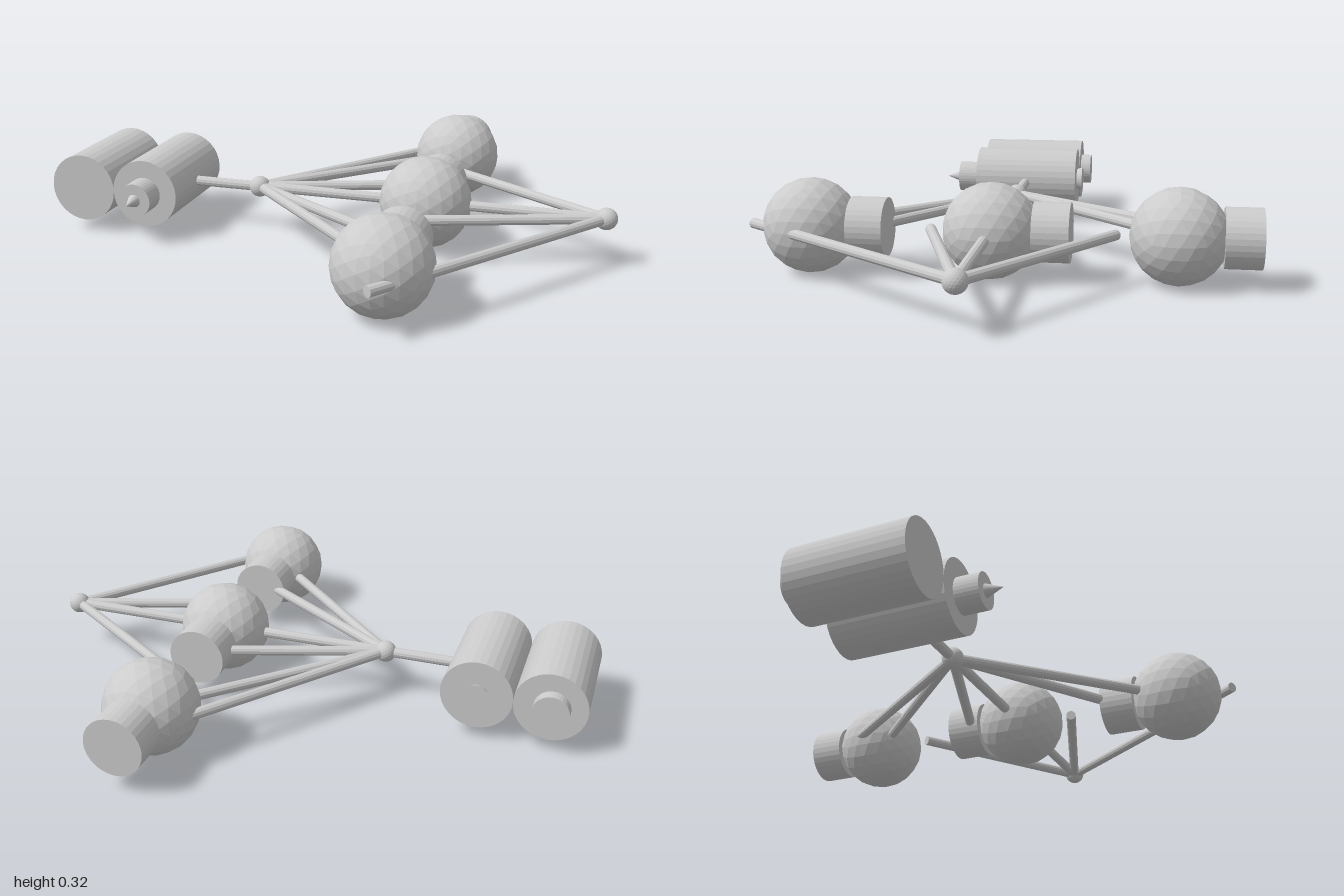
import * as THREE from 'three';

const Y = 0.166; // every part sits on one horizontal plane
const X_BALL = 0.345;
const mat = new THREE.MeshStandardMaterial({ color: 0xcccccc, flatShading: true });

function add(parent, name, geometry) {
  const mesh = new THREE.Mesh(geometry, mat);
  mesh.name = name;
  parent.add(mesh);
  return mesh;
}

// Cylinder or cone along z, from z0 (radius r0) to z1 (radius r1)
function barrel(parent, name, x, z0, z1, r0, r1 = r0) {
  const geo = new THREE.CylinderGeometry(r1, r0, z1 - z0, 32).rotateX(Math.PI / 2);
  add(parent, name, geo).position.set(x, Y, (z0 + z1) / 2);
}

function ball(parent, name, x, z, r, detail) {
  add(parent, name, new THREE.IcosahedronGeometry(r, detail)).position.set(x, Y, z);
}

// Thin rod between two [x, z] points
function rod(parent, name, a, b) {
  const p = new THREE.Vector3(a[0], Y, a[1]);
  const q = new THREE.Vector3(b[0], Y, b[1]);
  const dir = q.clone().sub(p);
  const mesh = add(parent, name, new THREE.CylinderGeometry(0.018, 0.018, dir.length(), 12));
  mesh.position.copy(p).add(q).multiplyScalar(0.5);
  mesh.quaternion.setFromUnitVectors(new THREE.Vector3(0, 1, 0), dir.normalize());
}

export function createModel() {
  const model = new THREE.Group();
  model.name = 'model';

  // Pair of tanks side by side
  const tanks = new THREE.Group();
  tanks.name = 'tanks';
  model.add(tanks);
  barrel(tanks, 'outerTank', -0.878, -0.183, 0.222, 0.122);
  barrel(tanks, 'outerTankPlug', -0.883, -0.223, -0.17, 0.061);
  barrel(tanks, 'innerTank', -0.635, -0.183, 0.222, 0.122);
  barrel(tanks, 'innerTankPlug', -0.635, -0.205, -0.175, 0.049, 0.037);
  barrel(tanks, 'nozzleCollar', -0.635, 0.21, 0.305, 0.06);
  barrel(tanks, 'nozzleTip', -0.635, 0.3, 0.362, 0.025, 0);

  // Rod frame with a joint at each end
  const frame = new THREE.Group();
  frame.name = 'frame';
  model.add(frame);
  const near = [-0.27, 0.02];
  const far = [0.96, 0.02];
  ball(frame, 'nearJoint', ...near, 0.038, 3);
  ball(frame, 'farJoint', ...far, 0.038, 3);
  rod(frame, 'stem', [-0.53, 0.02], near);
  rod(frame, 'centreRod', near, far);

  // Three globes with caps, each tied to both joints
  for (const z of [-0.593, 0.02, 0.632]) {
    const unit = new THREE.Group();
    unit.name = 'globeUnit';
    model.add(unit);
    ball(unit, 'globe', X_BALL, z, 0.161, 3);
    barrel(unit, 'cap', X_BALL, z - 0.264, z - 0.142, 0.1);
    rod(unit, 'capRod', near, [X_BALL, z - 0.204]);
    if (z !== near[1]) rod(unit, 'globeRod', near, [X_BALL, z]);
    rod(unit, 'farRod', far, [X_BALL + 0.005, z + 0.202]);
  }
  return model;
}
